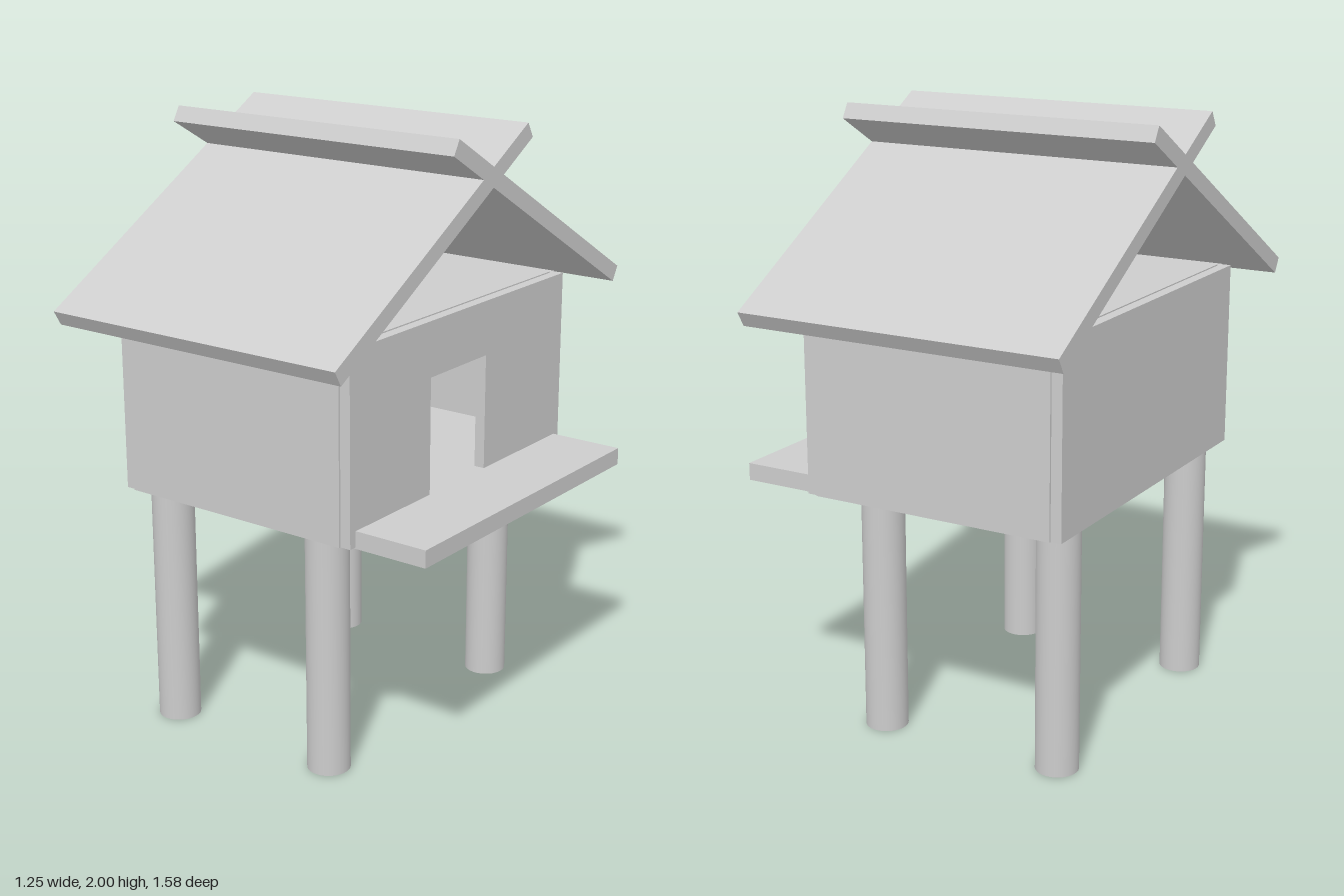
import * as THREE from 'three';

export function createModel() {
  const model = new THREE.Group();
  const grey = new THREE.MeshStandardMaterial({ color: 0xcccccc });
  grey.name = 'plain grey';

  const add = (name, geometry, x, y, z) => {
    const mesh = new THREE.Mesh(geometry, grey);
    mesh.name = name;
    mesh.position.set(x, y, z);
    model.add(mesh);
    return mesh;
  };
  // Box given by its minimum and maximum on each axis
  const slab = (name, [x0, x1], [y0, y1], [z0, z1]) =>
    add(name, new THREE.BoxGeometry(x1 - x0, y1 - y0, z1 - z0),
      (x0 + x1) / 2, (y0 + y1) / 2, (z0 + z1) / 2);

  const west = -0.535, east = 0.372, thick = 0.036;
  const wallY = [0.82, 1.435];

  // Stilts
  for (const x of [-0.437, 0.202]) {
    for (const z of [0.485, -0.425]) {
      add('stilt', new THREE.CylinderGeometry(0.07, 0.07, 0.82, 32), x, 0.41, z);
    }
  }

  // Floor running out into the porch, and the ceiling
  slab('floorAndPorch', [west + thick, 0.626], [0.815, 0.872], [-0.565, 0.565]);
  slab('ceiling', [west + thick, east - thick], [1.385, 1.439], [-0.565, 0.565]);

  // Long walls, set between the end walls
  for (const s of [1, -1]) {
    const z = [0.599 * s, (0.599 - thick) * s].sort((a, b) => a - b);
    slab('sideWall', [west + thick, east - thick], wallY, z);
  }
  slab('backWall', [west, west + thick], wallY, [-0.592, 0.592]);

  // Door wall: outline in (-z, y) with a doorway notch, extruded along x
  const outline = new THREE.Shape([
    [-0.592, wallY[0]], [-0.18, wallY[0]], [-0.18, 1.255], [0.128, 1.255],
    [0.128, wallY[0]], [0.592, wallY[0]], [0.592, wallY[1]], [-0.592, wallY[1]],
  ].map(([x, y]) => new THREE.Vector2(x, y)));
  const doorWall = new THREE.ExtrudeGeometry(outline, { depth: thick, bevelEnabled: false });
  doorWall.rotateY(Math.PI / 2);
  add('doorWall', doorWall, east - thick, 0, 0);

  // Two roof slabs crossing at the ridge
  for (const s of [1, -1]) {
    const roof = add('roofSlab', new THREE.BoxGeometry(1.098, 0.055, 1.128), -0.079, 1.694, 0.286 * s);
    roof.rotation.x = s * Math.PI / 6;
  }
  return model;
}
